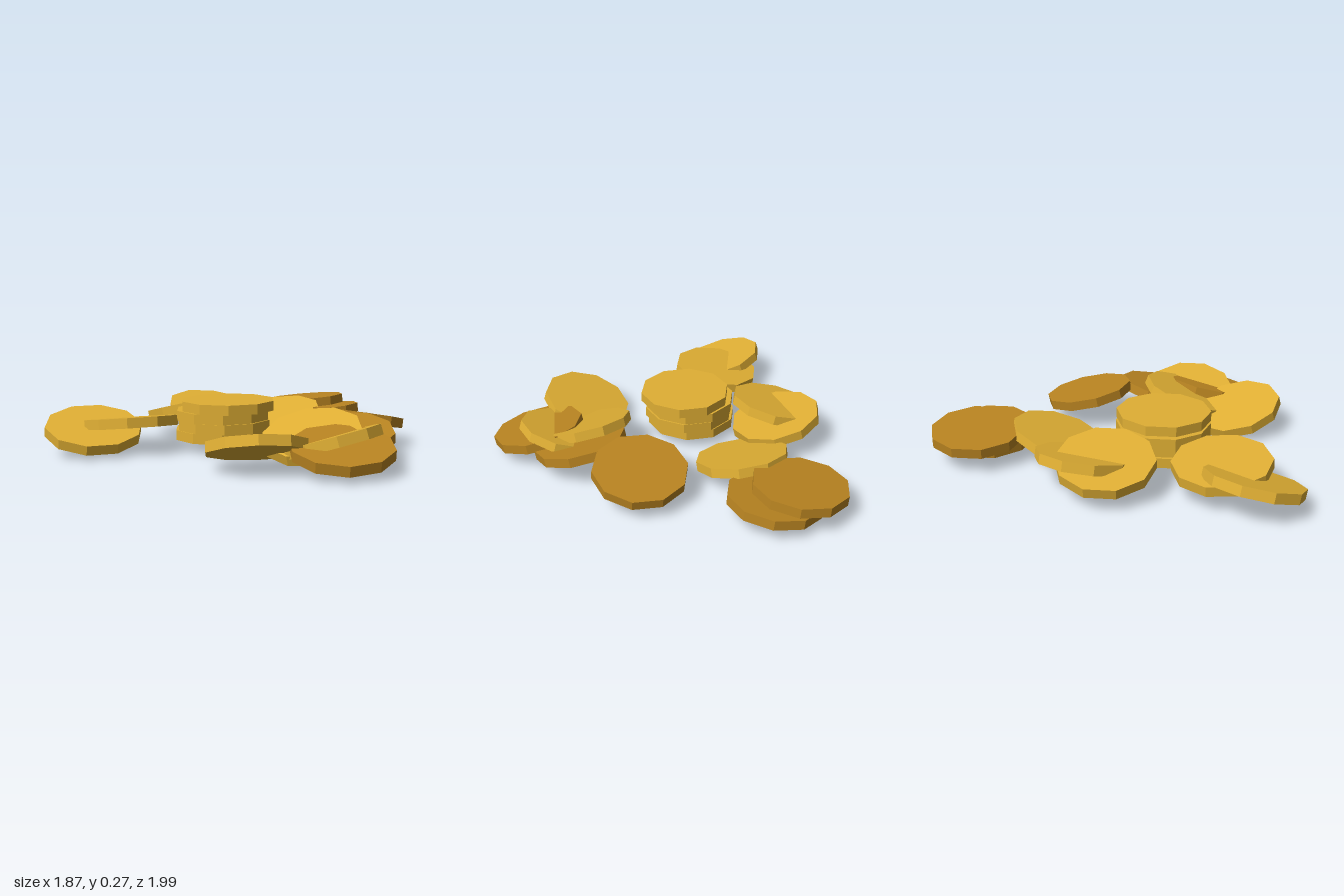
import * as THREE from 'three';

// Scattered ten-sided coins around a small stack.
export function createModel() {
  const group = new THREE.Group();
  group.name = 'coinPile';
  const gold = new THREE.MeshStandardMaterial({ color: 0xe0af34, flatShading: true });
  const bronze = new THREE.MeshStandardMaterial({ color: 0xb98421, flatShading: true });
  const thickness = 0.053;
  const disc = new THREE.CylinderGeometry(0.257, 0.257, thickness, 10);
  const up = new THREE.Vector3(0, 1, 0);

  // slopeX and slopeZ are the rise of the coin along x and z
  function coin(name, material, x, y, z, slopeX = 0, slopeZ = 0) {
    const mesh = new THREE.Mesh(disc, material);
    mesh.name = name;
    mesh.position.set(x, y, z);
    mesh.quaternion.setFromUnitVectors(up, new THREE.Vector3(-slopeX, 1, -slopeZ).normalize());
    group.add(mesh);
  }

  // Level stack, bottom to top
  [-0.19, -0.172, -0.182, -0.145].forEach((x, i) =>
    coin('stackCoin' + (i + 1), gold, x, 0.083 + i * thickness, 0.262));

  // Loose gold coins
  coin('backGoldCoin', gold, -0.18, 0.1, -0.315, 0, -0.29);
  coin('rightSideLowerCoin', gold, -0.61, 0.16, 0, 0.25, 0);
  coin('rightSideUpperCoin', gold, -0.54, 0.142, -0.115, -0.23, -0.1);
  coin('rightFrontOuterCoin', gold, -0.69, 0.122, 0.735, -0.25, -0.18);
  coin('rightFrontInnerCoin', gold, -0.555, 0.15, 0.58, 0.12, 0.08);
  coin('leftFrontCoin', gold, 0.31, 0.112, 0.67, 0.22, 0.27);
  coin('leftTopCoin', gold, 0.445, 0.138, 0.365, -0.04, -0.37);
  coin('leftRisingCoin', gold, 0.57, 0.122, 0.39, 0.32, 0);

  // Loose bronze coins
  coin('backUpperCoin', bronze, -0.255, 0.14, -0.745, 0.1, 0);
  coin('backLowerCoin', bronze, -0.125, 0.09, -0.71, 0.12, 0);
  coin('leftBackCoin', bronze, 0.4, 0.15, -0.22, -0.03, 0.21);
  coin('leftMiddleCoin', bronze, 0.55, 0.13, 0.215, -0.1, -0.23);
  coin('leftOuterCoin', bronze, 0.685, 0.115, 0.5, -0.13, -0.18);

  return group;
}
